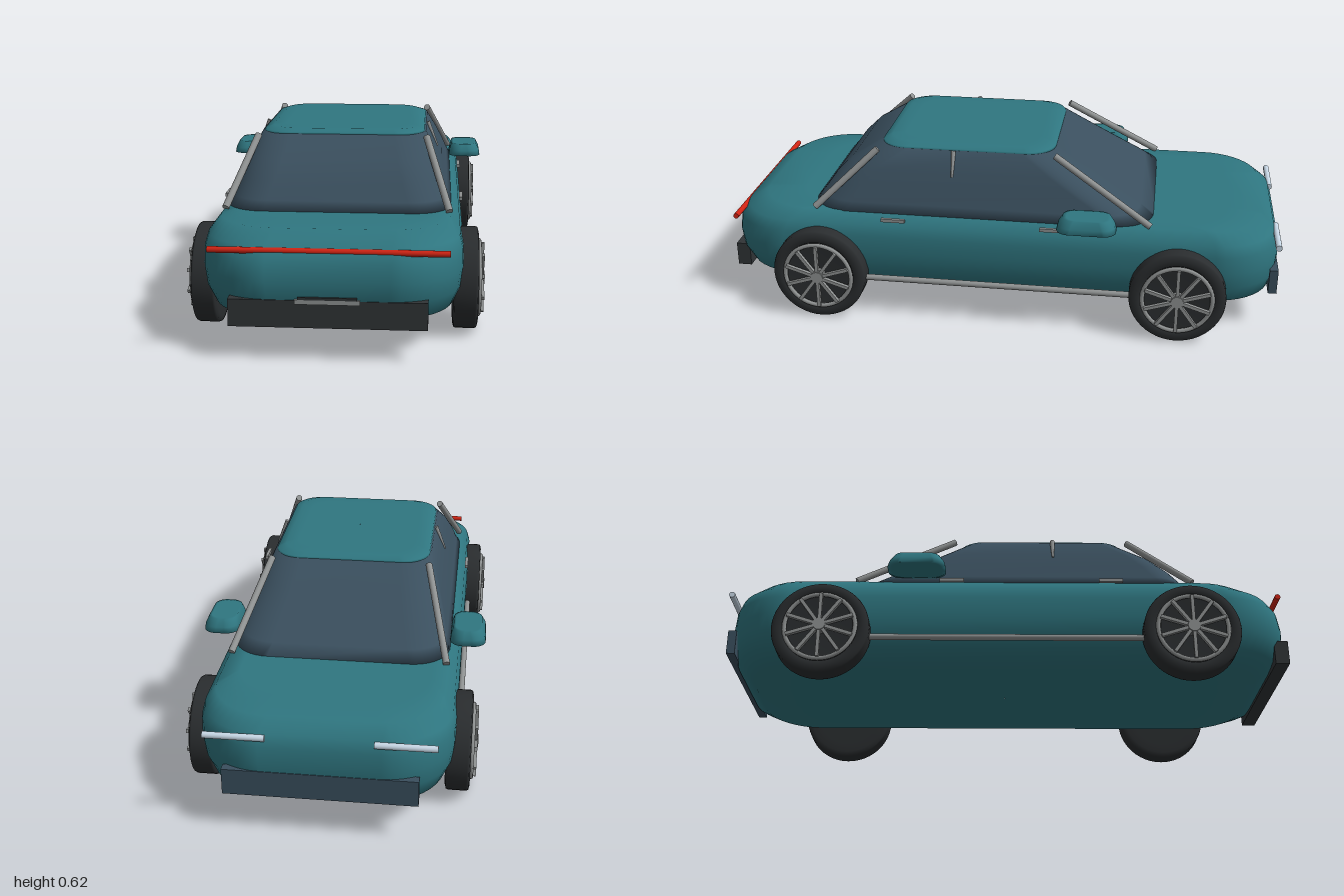
import * as THREE from 'three';

const mat = (color, side = THREE.FrontSide) => new THREE.MeshStandardMaterial({ color, side });
const paint = mat(0x2f7680), glass = mat(0x3a4f5e), rubber = mat(0x2a2d2f), dark = mat(0x303436);
const metal = mat(0x8f9292), red = mat(0xd02414), lamp = mat(0xc8d8e6);

function add(parent, name, geometry, material, x = 0, y = 0, z = 0) {
  const mesh = new THREE.Mesh(geometry, material);
  mesh.name = name;
  mesh.position.set(x, y, z);
  parent.add(mesh);
  return mesh;
}

// Points of a rounded rectangle in plan, running from +x towards +z
function ringPoints(x0, x1, z0, z1, r, y) {
  const pts = [], n = 10;
  const corners = [[x1 - r, z1 - r], [x0 + r, z1 - r], [x0 + r, z0 + r], [x1 - r, z0 + r]];
  corners.forEach(([cx, cz], k) => {
    for (let i = 0; i <= n; i++) {
      const a = (k + i / n) * Math.PI / 2;
      pts.push([cx + r * Math.cos(a), y, cz + r * Math.sin(a)]);
    }
  });
  return pts;
}

// Smooth closed skin over horizontal rings [y, x0, x1, z0, z1, r], bottom to top
function loft(rings) {
  const loops = rings.map(([y, x0, x1, z0, z1, r]) => ringPoints(x0, x1, z0, z1, r, y));
  const shrink = (loop, k) => {
    const cx = (loop[0][0] + loop[22][0]) / 2;
    const cz = (loop[10][2] + loop[32][2]) / 2;
    return loop.map(([x, y, z]) => [cx + (x - cx) * k, y, cz + (z - cz) * k]);
  };
  const last = loops[loops.length - 1];
  const all = [shrink(loops[0], 0.001), shrink(loops[0], 0.85), ...loops, shrink(last, 0.85), shrink(last, 0.001)];
  const m = all[0].length, index = [];
  for (let j = 0; j < all.length - 1; j++) {
    for (let i = 0; i < m; i++) {
      const a = j * m + i, b = j * m + (i + 1) % m;
      index.push(a, a + m, b, b, a + m, b + m);
    }
  }
  const geo = new THREE.BufferGeometry();
  geo.setAttribute('position', new THREE.Float32BufferAttribute(all.flat(2), 3));
  geo.setIndex(index);
  geo.computeVertexNormals();
  return geo;
}

// Straight round bar between two points
function rod(parent, name, a, b, r, material, r2 = r) {
  const p = new THREE.Vector3(...a), q = new THREE.Vector3(...b);
  const dir = q.clone().sub(p);
  const mesh = add(parent, name, new THREE.CylinderGeometry(r2, r, dir.length(), 16), material);
  mesh.position.copy(p).add(q).multiplyScalar(0.5);
  mesh.quaternion.setFromUnitVectors(new THREE.Vector3(0, 1, 0), dir.normalize());
  return mesh;
}

// Wheel with its axle along y, outer face towards +y
function createWheel() {
  const wheel = new THREE.Group();
  const tyre = [[0.001, -0.041], [0.12, -0.041], [0.15, -0.041], [0.165, -0.037], [0.168, -0.03], [0.168, 0.03],
    [0.165, 0.037], [0.15, 0.041], [0.13, 0.041], [0.124, 0.03], [0.001, 0.03]];
  add(wheel, 'tyre', new THREE.LatheGeometry(tyre.map(p => new THREE.Vector2(...p)), 48), rubber);
  const rim = add(wheel, 'rim', new THREE.TorusGeometry(0.121, 0.008, 8, 48), metal, 0, 0.043, 0);
  rim.rotation.x = Math.PI / 2;
  add(wheel, 'hub', new THREE.CylinderGeometry(0.022, 0.026, 0.03, 20), metal, 0, 0.048, 0);
  for (let i = 0; i < 10; i++) {
    const a = i * Math.PI / 5;
    const spoke = add(wheel, 'spoke', new THREE.BoxGeometry(0.105, 0.014, 0.012), metal,
      0.066 * Math.cos(a), 0.053, 0.066 * Math.sin(a));
    spoke.rotation.y = -a;
  }
  return wheel;
}

export function createModel() {
  const car = new THREE.Group();
  car.name = 'car';
  const sym = ([y, w, z0, z1, r]) => [y, -w, w, z0, z1, r];

  // Body shell, cabin glass and roof; the tail is towards +z
  add(car, 'body', loft([
    [0.095, 0.32, -0.93, 0.9, 0.19], [0.13, 0.38, -0.98, 0.965, 0.21], [0.19, 0.405, -0.995, 0.99, 0.22],
    [0.25, 0.412, -1, 0.995, 0.22], [0.31, 0.412, -0.995, 0.985, 0.22], [0.35, 0.402, -0.98, 0.955, 0.21],
    [0.39, 0.372, -0.935, 0.885, 0.2],
  ].map(sym)), paint);
  add(car, 'cabinGlass', loft([
    [0.385, 0.375, -0.56, 0.68, 0.13], [0.42, 0.36, -0.505, 0.65, 0.13], [0.475, 0.342, -0.41, 0.61, 0.13],
    [0.535, 0.318, -0.31, 0.55, 0.125], [0.605, 0.285, -0.195, 0.435, 0.11],
  ].map(sym)), glass);
  add(car, 'roof', loft([
    [0.598, 0.283, -0.198, 0.438, 0.1], [0.61, 0.278, -0.192, 0.432, 0.1], [0.62, 0.25, -0.165, 0.405, 0.09],
  ].map(sym)), paint);

  // Tail: light bar, bumper and plate trim
  rod(car, 'tailLightBar', [-0.37, 0.338, 0.957], [0.37, 0.338, 0.957], 0.01, red);
  add(car, 'rearBumper', new THREE.BoxGeometry(0.61, 0.087, 0.05), dark, 0, 0.15, 0.968);
  add(car, 'plateTrim', new THREE.BoxGeometry(0.2, 0.014, 0.012), metal, 0, 0.19, 0.993);
  add(car, 'bootHandle', new THREE.BoxGeometry(0.18, 0.008, 0.012), dark, 0, 0.201, 0.993);

  // Nose: grille
  add(car, 'frontGrille', new THREE.BoxGeometry(0.62, 0.09, 0.03), glass, 0, 0.18, -0.985);

  for (const s of [1, -1]) {
    const side = s > 0 ? 'left' : 'right';
    rod(car, side + 'Headlight', [s * 0.17, 0.34, -0.987], [s * 0.365, 0.34, -0.987], 0.011, lamp);

    // Pillars standing just outside the glass
    rod(car, side + 'FrontPillar', [s * 0.367, 0.395, -0.545], [s * 0.282, 0.605, -0.2], 0.012, metal);
    rod(car, side + 'RearPillar', [s * 0.367, 0.395, 0.655], [s * 0.288, 0.6, 0.435], 0.012, metal);
    rod(car, side + 'MiddlePillar', [s * 0.325, 0.52, 0.16], [s * 0.288, 0.607, 0.16], 0.004, metal, 0.009);

    // Sill bar and door handles
    rod(car, side + 'Sill', [s * 0.418, 0.15, 0.48], [s * 0.418, 0.15, -0.5], 0.011, metal);
    for (const z of [0.36, -0.205]) {
      add(car, side + 'DoorHandle', new THREE.BoxGeometry(0.012, 0.012, 0.085), metal, s * 0.409, 0.378, z);
    }

    // Mirror with rounded corners and narrower top
    const mirror = (y, a, b, z0, z1, r) => [y, Math.min(s * a, s * b), Math.max(s * a, s * b), z0, z1, r];
    add(car, side + 'Mirror', loft([
      mirror(0.405, 0.372, 0.495, -0.43, -0.225, 0.045), mirror(0.425, 0.375, 0.492, -0.425, -0.23, 0.045),
      mirror(0.45, 0.382, 0.48, -0.41, -0.245, 0.04),
    ]), paint);

    // Wheels
    for (const [end, z] of [['Rear', 0.63], ['Front', -0.65]]) {
      const wheel = createWheel();
      wheel.name = side + end + 'Wheel';
      wheel.position.set(s * 0.423, 0.168, z);
      wheel.rotation.z = -s * Math.PI / 2;
      car.add(wheel);
    }
  }
  return car;
}
